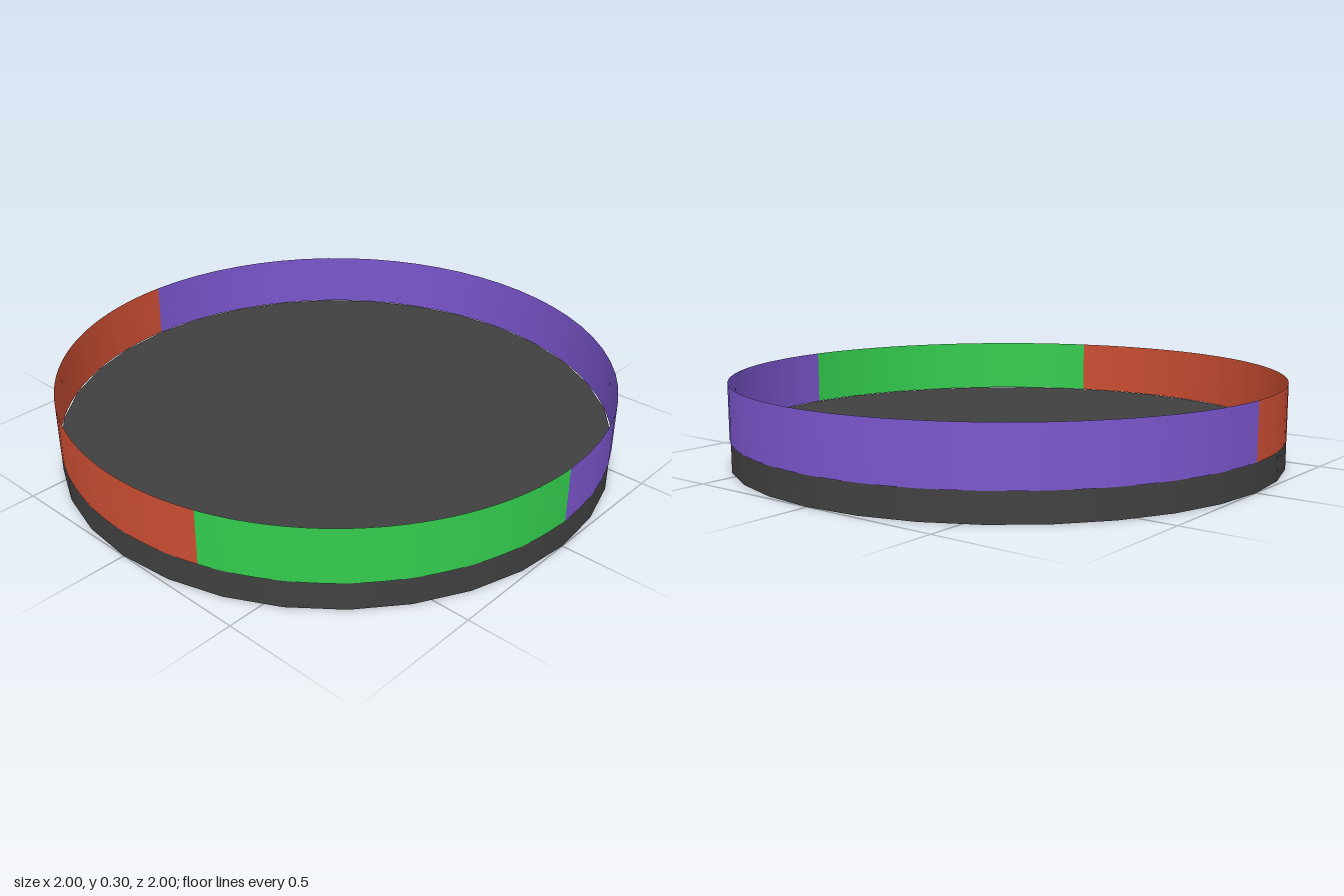
import * as THREE from 'three';

const RADIUS = 1, BASE_HEIGHT = 0.1, BAND_HEIGHT = 0.2;

// Share of the full turn and color of each band, anticlockwise from the front
const BANDS = [
  { name: 'purpleBand', share: 0.5, color: 0x7a55cc },
  { name: 'redBand', share: 0.3, color: 0xcc4e33 },
  { name: 'greenBand', share: 0.2, color: 0x33cc4e },
];

export function createModel() {
  const model = new THREE.Group();
  model.name = 'segmentedRingGauge';

  // Solid dark disc
  const base = new THREE.Mesh(
    new THREE.CylinderGeometry(RADIUS, RADIUS, BASE_HEIGHT, 32),
    new THREE.MeshStandardMaterial({ color: 0x404040 })
  );
  base.name = 'baseDisc';
  base.position.y = BASE_HEIGHT / 2;
  model.add(base);

  // Thin open wall of colored arcs standing on the rim
  const ring = new THREE.Group();
  ring.name = 'ring';
  ring.position.y = BASE_HEIGHT + BAND_HEIGHT / 2;
  let start = 0;
  for (const { name, share, color } of BANDS) {
    const sweep = share * Math.PI * 2;
    const band = new THREE.Mesh(
      new THREE.CylinderGeometry(RADIUS, RADIUS, BAND_HEIGHT, 32, 1, true, start, sweep),
      new THREE.MeshStandardMaterial({ color, side: THREE.DoubleSide })
    );
    band.name = name;
    ring.add(band);
    start += sweep;
  }
  model.add(ring);

  return model;
}
